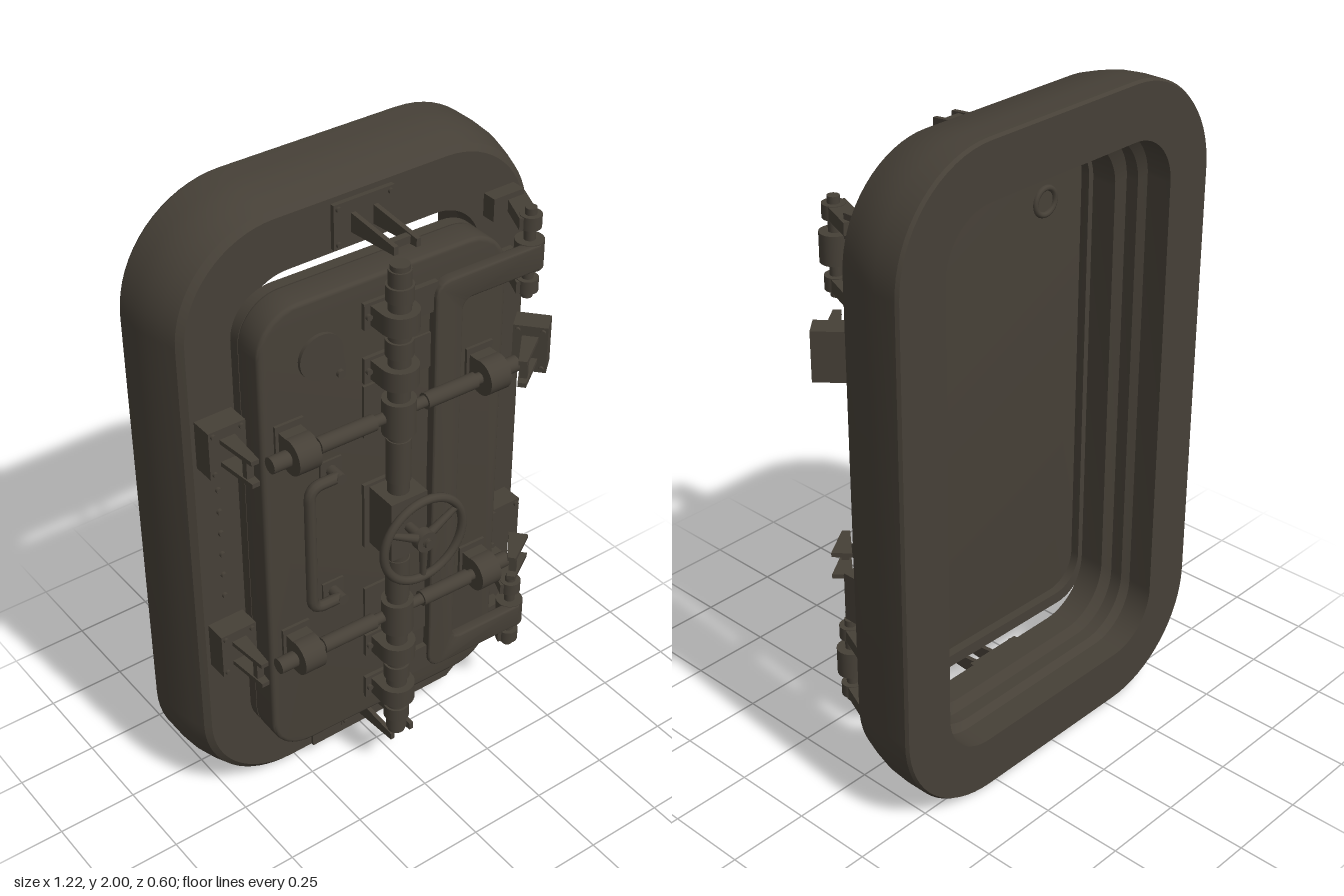
import * as THREE from 'three';
import { toCreasedNormals } from 'three/addons/utils/BufferGeometryUtils.js';

export function createModel() {
  const root = new THREE.Group();
  const door = new THREE.Group();
  door.name = 'door';
  door.rotation.y = -0.022; // slightly ajar
  root.add(door);
  const steel = new THREE.MeshStandardMaterial({ color: 0x464037 });
  steel.name = 'dark steel';

  function add(parent, name, geo, x = 0, y = 0, z = 0) {
    const m = new THREE.Mesh(geo, steel);
    m.name = name;
    m.position.set(x, y, z);
    parent.add(m);
    return m;
  }
  // Box and rod given by their extents
  const box = (p, name, x0, x1, y0, y1, z0, z1) =>
    add(p, name, new THREE.BoxGeometry(x1 - x0, y1 - y0, z1 - z0), (x0 + x1) / 2, (y0 + y1) / 2, (z0 + z1) / 2);
  const rodY = (p, name, x, y0, y1, z, r, n = 24) =>
    add(p, name, new THREE.CylinderGeometry(r, r, y1 - y0, n), x, (y0 + y1) / 2, z);
  const rodX = (p, name, x0, x1, y, z, r, n = 20) => {
    const m = add(p, name, new THREE.CylinderGeometry(r, r, x1 - x0, n), (x0 + x1) / 2, y, z);
    m.rotation.z = Math.PI / 2;
    return m;
  };
  const rodZ = (p, name, x, y, z0, z1, r, n = 12) => {
    const m = add(p, name, new THREE.CylinderGeometry(r, r, z1 - z0, n), x, y, (z0 + z1) / 2);
    m.rotation.x = Math.PI / 2;
    return m;
  };

  // Points of a rounded rectangle, counterclockwise
  function roundRect(w, h, r, n = 12) {
    const pts = [];
    [[1, 1], [-1, 1], [-1, -1], [1, -1]].forEach(([sx, sy], q) => {
      for (let i = 0; i <= n; i++) {
        const a = (q + i / n) * Math.PI / 2;
        pts.push(new THREE.Vector2(sx * (w - r) + r * Math.cos(a), sy * (h - r) + r * Math.sin(a)));
      }
    });
    return pts;
  }
  function extrude(shape, depth, bevel = 0) {
    const g = new THREE.ExtrudeGeometry(shape, {
      depth: depth - 2 * bevel, curveSegments: 12, bevelEnabled: bevel > 0,
      bevelSize: bevel, bevelOffset: -bevel, bevelThickness: bevel, bevelSegments: 3,
    });
    g.translate(0, 0, bevel);
    return toCreasedNormals(g, 0.6);
  }

  // Frame: closed cross-section [inset, corner radius, z] swept around the opening
  const section = [
    [0.006, 0.325, -0.3], [0, 0.33, -0.29], [0, 0.33, -0.22], [0.006, 0.32, -0.17], [0.018, 0.31, -0.12],
    [0.032, 0.3, -0.075], [0.05, 0.285, -0.06], [0.21, 0.16, -0.06], [0.21, 0.16, -0.14],
    [0.185, 0.16, -0.16], [0.185, 0.16, -0.2], [0.168, 0.16, -0.22], [0.168, 0.16, -0.3],
  ];
  const rings = section.map(([d, r]) => roundRect(0.612 - d, 1 - d, r, 16));
  const verts = [], index = [], count = rings[0].length;
  rings.forEach((ring, j) => ring.forEach((p) => verts.push(p.x, p.y, section[j][2])));
  for (let j = 0; j < rings.length; j++) {
    for (let i = 0; i < count; i++) {
      const k = (i + 1) % count, m = (j + 1) % rings.length;
      const a = j * count + i, b = j * count + k, c = m * count + k, d = m * count + i;
      index.push(a, b, c, a, c, d);
    }
  }
  const frameGeo = new THREE.BufferGeometry();
  frameGeo.setAttribute('position', new THREE.Float32BufferAttribute(verts, 3));
  frameGeo.setIndex(index);
  add(root, 'frame', toCreasedNormals(frameGeo, 0.5), 0, 1, 0);

  // Bolts down both sides of the frame
  for (const x of [-0.49, 0.49])
    for (let i = 0; i < 6; i++) rodZ(root, 'frameBolt', x, 0.815 + i * 0.075, -0.065, -0.05, 0.009);

  // Sill plate and its curved lip
  const sill = new THREE.Shape([[-0.21, 0.05], [0.32, 0.05], [0.38, 0.1], [0.38, 0.2], [0.2, 0.2], [0.2, 0.095], [-0.21, 0.095]]
    .map(([x, y]) => new THREE.Vector2(x, y)));
  add(root, 'sillPlate', extrude(sill, 0.012), 0, 0, -0.062);
  const lip = new THREE.QuadraticBezierCurve3(new THREE.Vector3(0.2, 0.165, -0.05), new THREE.Vector3(0.34, 0.16, -0.05), new THREE.Vector3(0.38, 0.2, -0.05));
  add(root, 'sillLip', new THREE.TubeGeometry(lip, 12, 0.012, 8));

  // Door panel with a raised rim on the back
  const doorShape = new THREE.Shape(roundRect(0.402, 0.77, 0.13));
  add(door, 'doorPanel', extrude(doorShape, 0.1, 0.012), -0.027, 1.008, -0.017);
  const rim = new THREE.Shape(roundRect(0.402, 0.77, 0.13));
  rim.holes.push(new THREE.Path(roundRect(0.365, 0.733, 0.1)));
  add(door, 'doorRim', extrude(rim, 0.034), -0.027, 1.008, -0.045);

  // Peephole cover and rear ring
  const drop = new THREE.Shape();
  drop.absarc(-0.24, 1.6, 0.068, -0.15, Math.PI * 1.4, false);
  drop.lineTo(-0.2, 1.515);
  drop.quadraticCurveTo(-0.165, 1.5, -0.165, 1.535);
  add(door, 'peepholeCover', extrude(drop, 0.012), 0, 0, 0.082);
  rodZ(door, 'peepholePivot', -0.185, 1.53, 0.085, 0.105, 0.012);
  add(door, 'peepholeRing', new THREE.TorusGeometry(0.04, 0.009, 8, 24), -0.24, 1.6, -0.018);

  // Pull handle
  const pull = new THREE.CurvePath();
  const P = (x, y, z = 0.125) => new THREE.Vector3(x, y, z);
  const pts = [P(-0.215, 1.22), P(-0.27, 1.22), P(-0.31, 1.18), P(-0.31, 0.83), P(-0.27, 0.79), P(-0.215, 0.79)];
  pull.add(new THREE.LineCurve3(pts[0], pts[1]));
  pull.add(new THREE.QuadraticBezierCurve3(pts[1], P(-0.31, 1.22), pts[2]));
  pull.add(new THREE.LineCurve3(pts[2], pts[3]));
  pull.add(new THREE.QuadraticBezierCurve3(pts[3], P(-0.31, 0.79), pts[4]));
  pull.add(new THREE.LineCurve3(pts[4], pts[5]));
  add(door, 'pullHandle', new THREE.TubeGeometry(pull, 60, 0.017, 10));
  for (const y of [1.22, 0.79]) {
    rodZ(door, 'handlePost', -0.215, y, 0.08, 0.142, 0.017);
    box(door, 'handlePlate', -0.25, -0.18, y - 0.035, y + 0.035, 0.08, 0.09);
  }

  // Central locking shaft with its bearings
  const sx = -0.032, sz = 0.148;
  rodY(door, 'shaft', sx, 0.2, 1.82, sz, 0.032);
  for (const s of [-1, 1]) {
    const Y = (d) => 1.01 + s * d;
    const span = (f, a, b) => f(Math.min(Y(a), Y(b)), Math.max(Y(a), Y(b)));
    span((a, b) => rodY(door, 'shaftTip', sx, a, b, sz, 0.027), 0.8, 0.825);
    span((a, b) => rodY(door, 'shaftCollar', sx, a, b, sz, 0.039), 0.72, 0.765);
    span((a, b) => rodY(door, 'shaftCollar', sx, a, b, sz, 0.039), 0.55, 0.6);
    span((a, b) => rodY(door, 'crossHub', sx, a, b, sz, 0.048), 0.3, 0.41);
    span((a, b) => rodY(door, 'shaftSleeve', sx, a, b, sz, 0.036), 0.14, 0.28);
    span((a, b) => box(door, 'hubPlate', sx - 0.075, sx + 0.075, a, b, 0.08, 0.092), 0.27, 0.44);
    for (const d of [0.63, 0.46]) {
      span((a, b) => rodY(door, 'bearing', sx, a, b, sz, 0.055), d, d + 0.06);
      span((a, b) => box(door, 'bearingFoot', sx - 0.055, sx + 0.055, a, b, 0.08, sz), d, d + 0.06);
      span((a, b) => box(door, 'bearingPlate', sx - 0.075, sx + 0.075, a, b, 0.08, 0.095), d - 0.01, d + 0.07);
      for (const bx of [-0.063, 0.063]) rodZ(door, 'bearingBolt', sx + bx, Y(d + 0.03), 0.09, 0.105, 0.009);
    }
    span((a, b) => box(door, 'braceTab', sx, 0.13, a, b, 0.08, 0.1), 0.6, 0.69);
    span((a, b) => box(door, 'braceTab', sx, 0.13, a, b, 0.08, 0.09), 0.42, 0.53);

    // Cross rods with bearings on both sides
    const y = Y(0.355), rz = 0.14;
    rodX(door, 'crossRod', -0.43, 0.37, y, rz, 0.017);
    for (const [a, b] of [[-0.29, -0.11], [0.06, 0.23], [-0.44, -0.385], [0.325, 0.375]])
      rodX(door, 'rodSleeve', a, b, y, rz, 0.024);
    for (const x of [-0.345, 0.285]) {
      rodX(door, 'rodBearing', x - 0.035, x + 0.035, y, rz, 0.053, 28);
      box(door, 'rodBearingFoot', x - 0.035, x + 0.035, y - 0.05, y + 0.05, 0.08, rz);
      box(door, 'rodBearingPlate', x - 0.045, x + 0.045, y - 0.07, y + 0.07, 0.08, 0.092);
    }
  }
  box(door, 'gearBox', -0.092, 0.03, 0.91, 1.11, 0.08, 0.2);
  box(door, 'gearBoxPlate', -0.11, 0.055, 0.9, 1.12, 0.08, 0.095);

  // Handwheel
  const wheel = new THREE.Group();
  wheel.name = 'handwheel';
  wheel.position.set(sx, 1.01, 0.268);
  door.add(wheel);
  add(wheel, 'wheelRim', new THREE.TorusGeometry(0.134, 0.013, 10, 48));
  rodZ(wheel, 'wheelAxle', 0, 0, -0.08, 0.02, 0.015, 16);
  rodZ(wheel, 'wheelHub', 0, 0, -0.012, 0.018, 0.033, 20);
  rodZ(wheel, 'wheelNut', 0, 0, 0.015, 0.03, 0.014, 6);
  for (let i = 0; i < 3; i++) {
    const spoke = add(wheel, 'wheelSpoke', new THREE.CylinderGeometry(0.009, 0.015, 0.13, 10).translate(0, 0.068, 0));
    spoke.rotation.z = Math.PI / 6 * 5 + i * Math.PI * 2 / 3 + Math.PI / 6;
  }

  // C-shaped hinge brace
  const brace = new THREE.Shape();
  brace.moveTo(0.47, 1.7);
  brace.lineTo(0.17, 1.7);
  brace.quadraticCurveTo(0.115, 1.7, 0.115, 1.645);
  brace.lineTo(0.115, 0.375);
  brace.quadraticCurveTo(0.115, 0.32, 0.17, 0.32);
  brace.lineTo(0.47, 0.32);
  brace.lineTo(0.47, 0.4);
  brace.lineTo(0.24, 0.4);
  brace.quadraticCurveTo(0.205, 0.4, 0.205, 0.435);
  brace.lineTo(0.205, 1.585);
  brace.quadraticCurveTo(0.205, 1.62, 0.24, 1.62);
  brace.lineTo(0.47, 1.62);
  add(door, 'hingeBrace', extrude(brace, 0.036, 0.006), 0, 0, 0.078);

  // Hinges: barrel, pin and slanted frame lugs
  for (const y of [1.66, 0.36]) {
    rodY(root, 'hingeBarrel', 0.46, y - 0.042, y + 0.042, 0.08, 0.042);
    rodY(root, 'hingePin', 0.46, y - 0.14, y + 0.14, 0.08, 0.017, 16);
    for (const s of [-1, 1]) {
      const ly = y + s * 0.1;
      rodY(root, 'hingeCollar', 0.46, ly - 0.02, ly + 0.02, 0.08, 0.032);
      const lug = box(root, 'hingeLug', 0.445, 0.505, ly - 0.018, ly + 0.018, -0.05, 0.1);
      lug.rotation.y = -0.4;
      box(root, 'hingeBase', 0.41, 0.515, ly - 0.035, ly + 0.035, -0.062, -0.015);
    }
  }

  // Catch: base, two tapered cheeks and a crossbar, pointing along +z
  function catchPart(x, y, z, turn, { base = true, prongs = true, w = 0.058, h = 0.075, depth = 0.07, from = 0 } = {}) {
    const g = new THREE.Group();
    g.name = 'catch';
    g.position.set(x, y, z);
    g.rotation.y = turn;
    root.add(g);
    if (base) {
      box(g, 'catchBase', -w, w, -h, h, 0, depth);
      for (const a of [-1, 1]) for (const b of [-1, 1])
        rodZ(g, 'catchBolt', a * (w - 0.014), b * (h - 0.014), depth, depth + 0.008, 0.008);
    }
    if (prongs) {
      const cheek = new THREE.Shape([[from, -0.03], [0.2, -0.012], [0.2, 0.012], [from, 0.03]].map(([u, v]) => new THREE.Vector2(u, v)));
      for (const s of [-1, 1]) {
        const m = add(g, 'catchCheek', extrude(cheek, 0.014), 0, s * 0.036 + 0.007, 0);
        m.rotation.set(Math.PI / 2, 0, Math.PI / 2); // lie along z, thickness along y
      }
      add(g, 'catchBar', new THREE.BoxGeometry(0.022, 0.07, 0.02), 0, 0, 0.165);
    }
    return g;
  }
  for (const y of [1.365, 0.655]) catchPart(-0.492, y, -0.062, 0);
  for (const y of [1.868, 0.142]) {
    const c = catchPart(-0.005, y, -0.062, 0, { w: 0.066, h: 0.098, depth: 0.016 });
    c.rotation.z = Math.PI / 2;
  }
  catchPart(0.507, 1.36, 0.067, -0.86, { w: 0.05 });
  catchPart(0.48, 0.648, -0.058, 0, { prongs: false });
  catchPart(0.507, 0.655, 0.067, -0.86, { base: false, from: 0.08 });
  return root;
}
